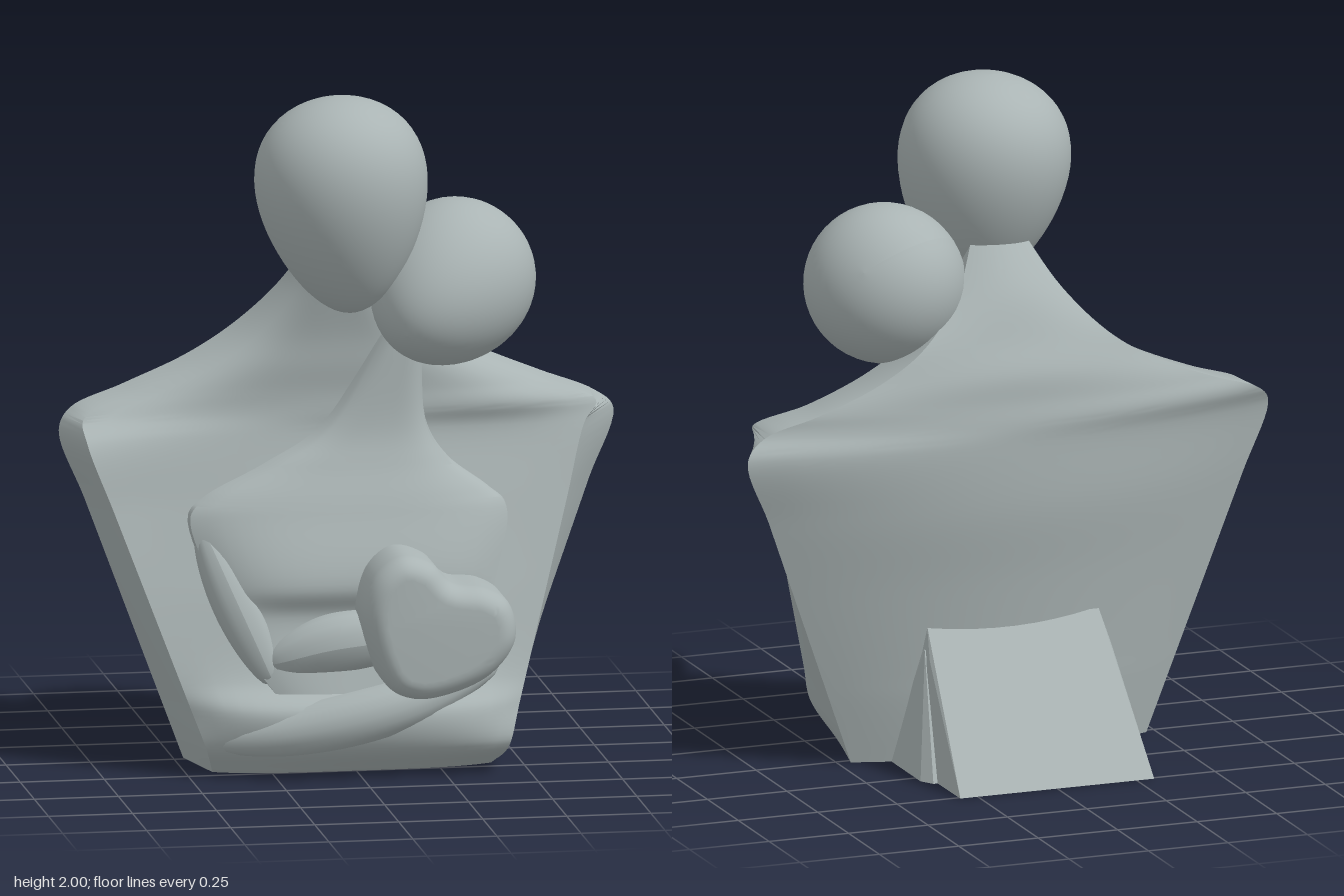
import * as THREE from 'three';
import { toCreasedNormals } from 'three/addons/utils/BufferGeometryUtils.js';
import { ConvexGeometry } from 'three/addons/geometries/ConvexGeometry.js';

const V = (x, y, z) => new THREE.Vector3(x, y, z);
const mix = THREE.MathUtils.lerp;
const stone = new THREE.MeshStandardMaterial({ color: 0xaab4b4 });
stone.name = 'grey stone';

// Horizontal section with four corners; the back and front faces bow to the given middle depths
function section(leftBack, leftFront, rightFront, rightBack, back, front) {
  const pts = [], n = 20;
  const face = (a, b, middle, power) => {
    for (let i = 0; i <= n; i++) {
      const t = i / n, w = 1 - (2 * t - 1) ** power;
      const p = a.clone().lerp(b, t);
      p.z += (middle - (a.z + b.z) / 2) * w;
      pts.push(p);
    }
  };
  face(leftBack, rightBack, back, 2);
  face(rightFront, leftFront, front, 4);
  return pts;
}

// Skin the sections with smooth columns and close both ends
function loft(rings, steps) {
  const count = rings[0].length, pos = [], idx = [];
  const columns = rings[0].map((_, i) =>
    new THREE.CatmullRomCurve3(rings.map(r => r[i]), false, 'centripetal'));
  for (let s = 0; s <= steps; s++)
    for (const c of columns) pos.push(...c.getPoint(s / steps).toArray());
  for (let s = 0; s < steps; s++)
    for (let i = 0; i < count; i++) {
      const a = s * count + i, b = s * count + (i + 1) % count;
      idx.push(b, a, a + count, b, a + count, b + count);
    }
  const cap = (ring, first, top) => {
    const mid = V(0, 0, 0);
    for (const p of ring) mid.addScaledVector(p, 1 / count);
    const c = pos.length / 3;
    pos.push(...mid.toArray());
    for (let i = 0; i < count; i++) {
      const a = first + i, b = first + (i + 1) % count;
      idx.push(c, top ? b : a, top ? a : b);
    }
  };
  cap(rings[0], 0, false);
  cap(rings[rings.length - 1], steps * count, true);
  const g = new THREE.BufferGeometry();
  g.setAttribute('position', new THREE.Float32BufferAttribute(pos, 3));
  g.setIndex(idx);
  return toCreasedNormals(g, 0.75);
}

// Trunk section: arms spread outward and lean back toward the shoulders
function trunk([y, back, front]) {
  const k = y / 0.98, lx = -0.47 - 0.36 * k;
  return section(
    V(lx, y, -0.02 - 0.06 * k), V(lx + 0.05, y, Math.min(0.3 - 0.17 * k, 0.2 + y)),
    V(0.41 + 0.3 * k, y, Math.min(0.4 - 0.34 * k, 0.2 + 2 * y)), V(0.46 + 0.37 * k, y, -0.02 - 0.12 * k),
    back, front);
}

// Plainer section with vertical-edged sides
const slab = ([y, left, right, edgeBack, edgeFront, back, front]) => section(
  V(left, y, edgeBack), V(left + 0.02, y, edgeFront),
  V(right - 0.02, y, edgeFront), V(right, y, edgeBack), back, front);

// Egg: a sphere narrowing toward its lower end, which points along "tip"
function egg(center, width, height, taper, tip) {
  const g = new THREE.SphereGeometry(1, 48, 32), p = g.attributes.position;
  for (let i = 0; i < p.count; i++) {
    const y = p.getY(i), k = 1 + taper * y - taper * taper * 0.5;
    p.setXYZ(i, p.getX(i) * width * k, y * height, p.getZ(i) * width * k);
  }
  g.applyQuaternion(new THREE.Quaternion().setFromUnitVectors(V(0, -1, 0), tip.normalize()));
  g.translate(center.x, center.y, center.z);
  g.computeVertexNormals();
  return g;
}

// Soft limb along a curve, thinning to its ends
function limb(radius, ...points) {
  const curve = new THREE.CatmullRomCurve3(points), n = 28, m = 16;
  const g = new THREE.TubeGeometry(curve, n, radius, m), p = g.attributes.position;
  for (let i = 0; i <= n; i++) {
    const c = curve.getPointAt(i / n), k = 0.05 + 0.95 * Math.sqrt(Math.abs(Math.sin(Math.PI * i / n)));
    for (let j = 0; j <= m; j++) {
      const q = i * (m + 1) + j;
      const v = V(0, 0, 0).fromBufferAttribute(p, q).sub(c).multiplyScalar(k).add(c);
      p.setXYZ(q, v.x, v.y, v.z);
    }
  }
  g.computeVertexNormals();
  return g;
}

export function createModel() {
  const group = new THREE.Group();
  const add = (name, geometry) => {
    const mesh = new THREE.Mesh(geometry, stone);
    mesh.name = name;
    group.add(mesh);
  };

  // Large figure: trunk with a hollow chest (y, back, front), then shoulders and neck
  const trunkRows = [[0, -0.1, 0.25], [0.09, -0.12, 0.37], [0.2, -0.14, 0.39], [0.28, -0.15, 0.29],
    [0.55, -0.19, 0.19], [0.78, -0.23, 0.12], [0.98, -0.24, 0.07]];
  const neckRows = [
    [1.04, -0.79, 0.77, -0.12, 0.03, -0.24, 0.07],
    [1.10, -0.63, 0.61, -0.15, -0.01, -0.23, 0.07],
    [1.18, -0.44, 0.42, -0.16, -0.01, -0.22, 0.08],
    [1.27, -0.30, 0.28, -0.15, 0.00, -0.18, 0.09],
    [1.40, -0.18, 0.15, -0.08, 0.03, -0.12, 0.12],
    [1.56, -0.09, 0.06, 0.02, 0.08, 0.00, 0.16],
  ];
  add('largeTorso', loft([...trunkRows.map(trunk), ...neckRows.map(slab)], 84));

  // Small figure: raised panel set into the hollow chest (y, left, right, edge depth, front)
  const panelRows = [
    [0.25, -0.27, 0.37, 0.31, 0.34], [0.32, -0.32, 0.39, 0.29, 0.32], [0.47, -0.40, 0.42, 0.26, 0.28],
    [0.56, -0.44, 0.44, 0.23, 0.31], [0.76, -0.50, 0.48, 0.17, 0.24], [0.81, -0.45, 0.43, 0.16, 0.22],
    [0.90, -0.26, 0.31, 0.14, 0.18], [1.00, -0.09, 0.25, 0.12, 0.15], [1.28, 0.09, 0.24, 0.10, 0.14],
  ];
  add('smallTorso', loft(panelRows.map(([y, left, right, edge, front]) =>
    slab([y, left, right, 0, edge, 0, front])), 60));

  // Heads
  add('largeHead', egg(V(-0.025, 1.68, 0.165), 0.255, 0.322, 0.25, V(0.08, -1, 0.05)));
  add('smallHead', egg(V(0.3, 1.41, 0.09), 0.237, 0.28, 0.15, V(-0.56, -0.37, 0.74)));

  // Arms folded across the front
  add('largeForearm', limb(0.08, V(-0.46, 0.1, 0.25), V(-0.2, 0.14, 0.33), V(0.1, 0.21, 0.36), V(0.42, 0.32, 0.29)));
  add('smallUpperArm', limb(0.07, V(-0.45, 0.74, 0.15), V(-0.36, 0.52, 0.22), V(-0.25, 0.27, 0.28)));
  add('smallForearm', limb(0.09, V(-0.28, 0.33, 0.26), V(-0.08, 0.39, 0.28), V(0.2, 0.42, 0.32)));

  // Puffy tilted heart held at the front
  const outline = [[0.25, 0.595], [0.19, 0.655], [0.1, 0.678], [0.02, 0.62], [-0.01, 0.5], [0.06, 0.29],
    [0.14, 0.25], [0.25, 0.263], [0.37, 0.32], [0.44, 0.42], [0.42, 0.53], [0.35, 0.575]];
  const curve = new THREE.CatmullRomCurve3(outline.map(([x, y]) => V(x, y, 0)).reverse(), true);
  const heart = new THREE.Shape(curve.getPoints(72).slice(0, -1).map(p => new THREE.Vector2(p.x, p.y)));
  const heartGeometry = new THREE.ExtrudeGeometry(heart, {
    depth: 0.16, bevelThickness: 0.075, bevelSize: 0.06, bevelOffset: -0.06, bevelSegments: 8,
  });
  heartGeometry.translate(0, 0, 0.275);
  add('heart', toCreasedNormals(heartGeometry, 0.7));

  // Sloping foot behind, with a rib on each side
  const mirrored = f => [...f(-1), ...f(1)];
  add('backFoot', new ConvexGeometry(mirrored(s => [
    V(s * 0.305, 0, -0.51), V(s * 0.285, 0.34, -0.21), V(s * 0.27, 0.43, -0.15),
    V(s * 0.31, 0, 0), V(s * 0.27, 0.4, 0)])));
  add('footRibs', new ConvexGeometry(mirrored(s => [
    V(s * 0.345, 0, -0.29), V(s * 0.32, 0, -0.33), V(s * 0.345, 0, 0),
    V(s * 0.285, 0.36, -0.17), V(s * 0.27, 0.36, -0.1)])));

  return group;
}
